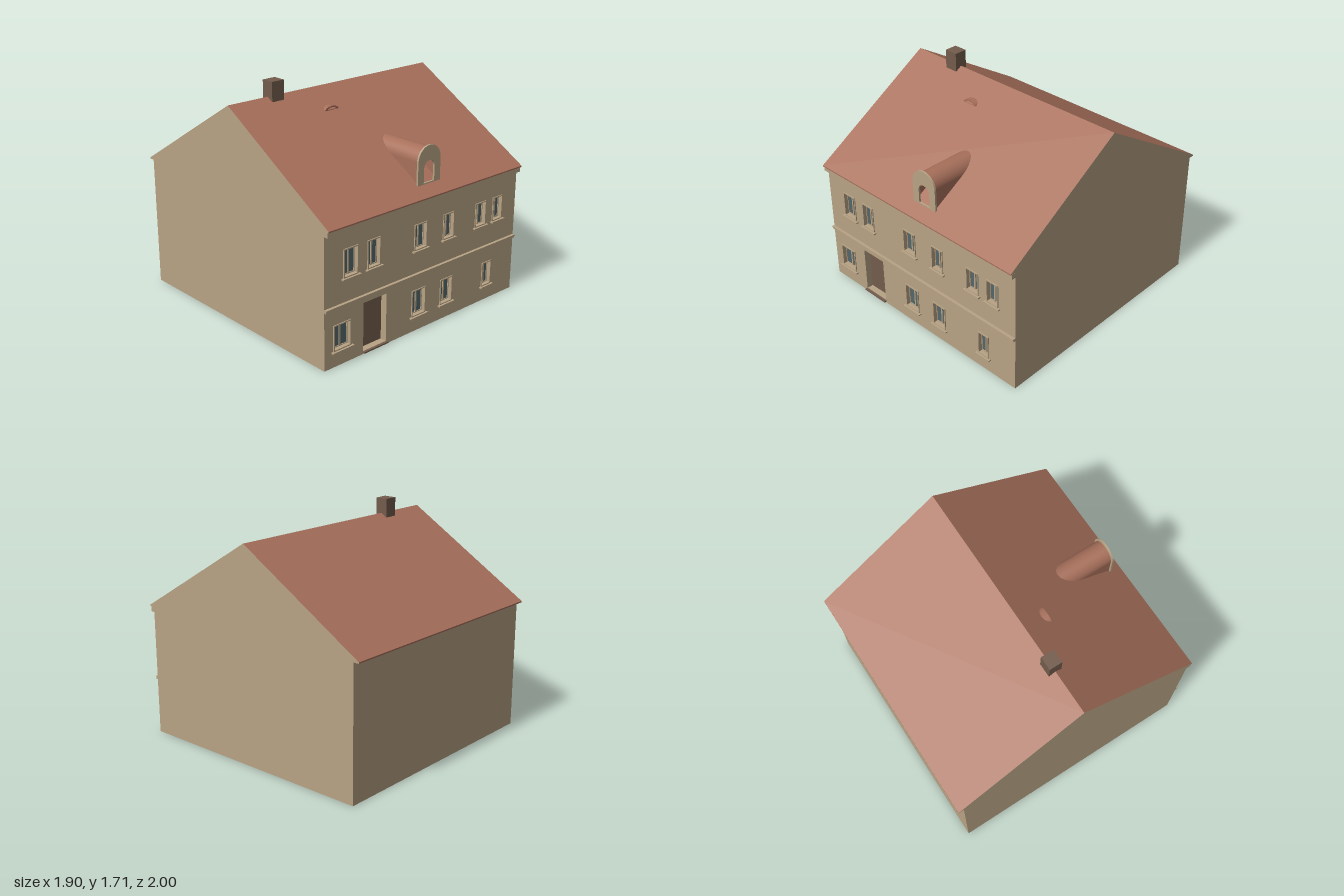
import * as THREE from 'three';

const mat = (name, color) => {
  const m = new THREE.MeshStandardMaterial({ color, side: THREE.DoubleSide });
  m.name = name;
  return m;
};

export function createModel() {
  const plaster = mat('plaster', 0xb8a385);
  const tile = mat('roof tile', 0xa8705b);
  const brown = mat('brown', 0x735c4c);
  const glass = mat('glass', 0x52676b);
  const house = new THREE.Group();
  house.name = 'house';

  const L = -0.953, WZ = 0.957, WT = 0.985, EAVE = 0.995, RIDGE = 1.6;
  const xr = (z) => 0.939 + 0.013 * z; // the right gable runs slightly askew

  const add = (name, geometry, material, parent = house) => {
    const m = new THREE.Mesh(geometry, material);
    m.name = name;
    parent.add(m);
    return m;
  };
  const box = (name, x0, x1, y0, y1, z0, z1, material, parent) => {
    const m = add(name, new THREE.BoxGeometry(x1 - x0, y1 - y0, z1 - z0), material, parent);
    m.position.set((x0 + x1) / 2, (y0 + y1) / 2, (z0 + z1) / 2);
    return m;
  };
  // Flat convex faces, each a list of corners
  const faces = (name, polygons, material, parent) => {
    const p = [];
    for (const f of polygons)
      for (let i = 1; i < f.length - 1; i++) p.push(...f[0], ...f[i], ...f[i + 1]);
    const g = new THREE.BufferGeometry();
    g.setAttribute('position', new THREE.Float32BufferAttribute(p, 3));
    g.computeVertexNormals();
    return add(name, g, material, parent);
  };
  const rect = (x0, x1, y0, y1, Type = THREE.Shape) => {
    const s = new Type();
    s.moveTo(x0, y0).lineTo(x1, y0).lineTo(x1, y1).lineTo(x0, y1).closePath();
    return s;
  };
  const ring = (name, x0, x1, y0, y1, t, z0, depth, parent) => {
    const s = rect(x0, x1, y0, y1);
    s.holes.push(rect(x0 + t, x1 - t, y0 + t, y1 - t, THREE.Path));
    const m = add(name, new THREE.ExtrudeGeometry(s, { depth, bevelEnabled: false }), plaster, parent);
    m.position.z = z0;
  };
  // Sides of a recess going back into the front wall
  const reveal = (x0, x1, y0, y1, depth, parent) => {
    const c = [[x0, y0], [x1, y0], [x1, y1], [x0, y1]];
    faces('reveal', c.map((a, i) => {
      const b = c[(i + 1) % 4];
      return [[...a, WZ], [...a, WZ - depth], [...b, WZ - depth], [...b, WZ]];
    }), plaster, parent);
  };

  // Front wall with openings
  const wall = rect(L, xr(WZ), 0, WT);
  const T = 0.008, DEPTH = 0.03;
  const windows = [ // x0, x1, y0, y1
    [-0.789, -0.659, 0.615, 0.818], [-0.575, -0.456, 0.615, 0.818],
    [-0.132, -0.008, 0.615, 0.806], [0.158, 0.27, 0.615, 0.806],
    [0.499, 0.614, 0.615, 0.798], [0.69, 0.798, 0.615, 0.798],
    [-0.876, -0.72, 0.116, 0.305], [-0.143, -0.005, 0.116, 0.316],
    [0.148, 0.274, 0.116, 0.311], [0.603, 0.705, 0.116, 0.305],
  ];
  for (const [x0, x1, y0, y1] of windows) {
    const g = new THREE.Group();
    g.name = 'window';
    house.add(g);
    const a = x0 + T, b = x1 - T, c = y0 + T, d = y1 - T, mid = (x0 + x1) / 2;
    wall.holes.push(rect(a, b, c, d, THREE.Path));
    reveal(a, b, c, d, DEPTH, g);
    ring('frame', x0, x1, y0, y1, T, WZ, 0.007, g);
    ring('sash', a, b, c, d, 0.006, WZ - DEPTH + 0.001, 0.006, g);
    box('mullion', mid - 0.006, mid + 0.006, c, d, WZ - DEPTH + 0.001, WZ - DEPTH + 0.008, plaster, g);
    box('pane', a, b, c, d, WZ - DEPTH - 0.002, WZ - DEPTH, glass, g);
    box('sill', x0 - 0.016, x1 + 0.016, y0 - 0.01, y0, WZ, 0.979, plaster, g);
  }

  // Recessed door and its step
  wall.holes.push(rect(-0.604, -0.389, 0.022, 0.38, THREE.Path));
  reveal(-0.604, -0.389, 0.022, 0.38, 0.05);
  box('door', -0.604, -0.389, 0.022, 0.38, WZ - 0.055, WZ - 0.05, brown);
  box('doorStep', -0.61, -0.383, 0.012, 0.022, WZ, 0.977, brown);
  add('frontWall', new THREE.ShapeGeometry(wall), plaster).position.z = WZ;

  // Back and side walls, open underneath
  const xb = xr(-WZ), xf = xr(WZ);
  faces('walls', [
    [[xb, 0, -WZ], [L, 0, -WZ], [L, WT, -WZ], [xb, WT, -WZ]],
    [[xf, 0, WZ], [xb, 0, -WZ], [xb, WT, -WZ], [xf, WT, WZ]],
    [[L, 0, -WZ], [L, 0, WZ], [L, WT, WZ], [L, WT, -WZ]],
  ], plaster);

  // Gables and the flat attic floor
  const profile = [[1, WT], [-1, WT], [-1, EAVE], [0, RIDGE], [1, EAVE]];
  faces('gables', [
    profile.map(([z, y]) => [xr(z), y, z]),
    profile.map(([z, y]) => [L, y, z]).reverse(),
    [[L, WT, -1], [xr(-1), WT, -1], [xr(1), WT, 1], [L, WT, 1]],
  ], plaster);

  // Roof slopes with eave edges
  const roof = [];
  for (const s of [1, -1]) {
    const e = xr(s), r = xr(0);
    const set = [
      [[L, EAVE, s], [e, EAVE, s], [r, RIDGE, 0], [L, RIDGE, 0]],
      [[L, WT, s], [e, WT, s], [e, EAVE, s], [L, EAVE, s]],
    ];
    roof.push(...(s > 0 ? set : set.map((f) => f.reverse())));
  }
  faces('roof', roof, tile);

  // Mouldings on the front
  box('cornice', L, xf, 0.947, WT - 0.001, WZ, 0.99, plaster);
  box('stringCourse', L, xf, 0.42, 0.443, WZ, 0.974, plaster);
  box('stringCourseLip', L, xf, 0.436, 0.443, 0.974, 0.979, plaster);

  box('chimney', -0.613, -0.508, 1.56, 1.712, -0.05, 0.05, brown);

  // Arched dormer
  const arch = (cx, r, y0, spring, Type) => {
    const s = new Type();
    s.moveTo(cx - r, y0).lineTo(cx + r, y0).lineTo(cx + r, spring);
    s.absarc(cx, spring, r, 0, Math.PI, false);
    s.lineTo(cx - r, y0);
    return s;
  };
  const CX = 0.053;
  const face = arch(CX, 0.11, 1.045, 1.215, THREE.Shape);
  face.holes.push(arch(CX, 0.052, 1.06, 1.164, THREE.Path));
  add('dormerFront', new THREE.ExtrudeGeometry(face, { depth: 0.014, bevelEnabled: false, curveSegments: 16 }),
    plaster).position.z = 0.893;

  // Half-round vault whose back edge dies into the roof slope
  const roofZ = (y) => (RIDGE - y) / (RIDGE - EAVE);
  const vault = (name, outline, zFront) => {
    const p = [], idx = [];
    outline.forEach(([x, y], i) => {
      p.push(x, y, zFront, x, y, Math.min(zFront, roofZ(y) - 0.005));
      if (i) idx.push(2 * i - 2, 2 * i, 2 * i - 1, 2 * i, 2 * i + 1, 2 * i - 1);
    });
    const g = new THREE.BufferGeometry();
    g.setAttribute('position', new THREE.Float32BufferAttribute(p, 3));
    g.setIndex(idx.reverse());
    g.computeVertexNormals();
    add(name, g, tile);
  };
  const half = (cx, cy, rx, ry, n) => Array.from({ length: n + 1 }, (_, i) => {
    const a = (Math.PI * i) / n;
    return [cx + rx * Math.cos(a), cy + ry * Math.sin(a)];
  });
  const hood = half(CX, 1.212, 0.095, 0.095, 20);
  vault('dormerRoof', [[CX + 0.095, 1.06], ...hood, [CX - 0.095, 1.06]], 0.893);

  // Small eyebrow vent near the ridge
  const VX = -0.207, VY = 1.474;
  vault('eyebrowVent', half(VX, VY, 0.062, 0.028, 12), 0.209);
  const brow = new THREE.Shape(half(VX, VY, 0.062, 0.028, 12).map(([x, y]) => new THREE.Vector2(x, y)));
  brow.holes.push(new THREE.Path(half(VX, VY + 0.004, 0.038, 0.014, 12).map(([x, y]) => new THREE.Vector2(x, y))));
  add('eyebrowFront', new THREE.ShapeGeometry(brow), tile).position.z = 0.209;

  return house;
}
